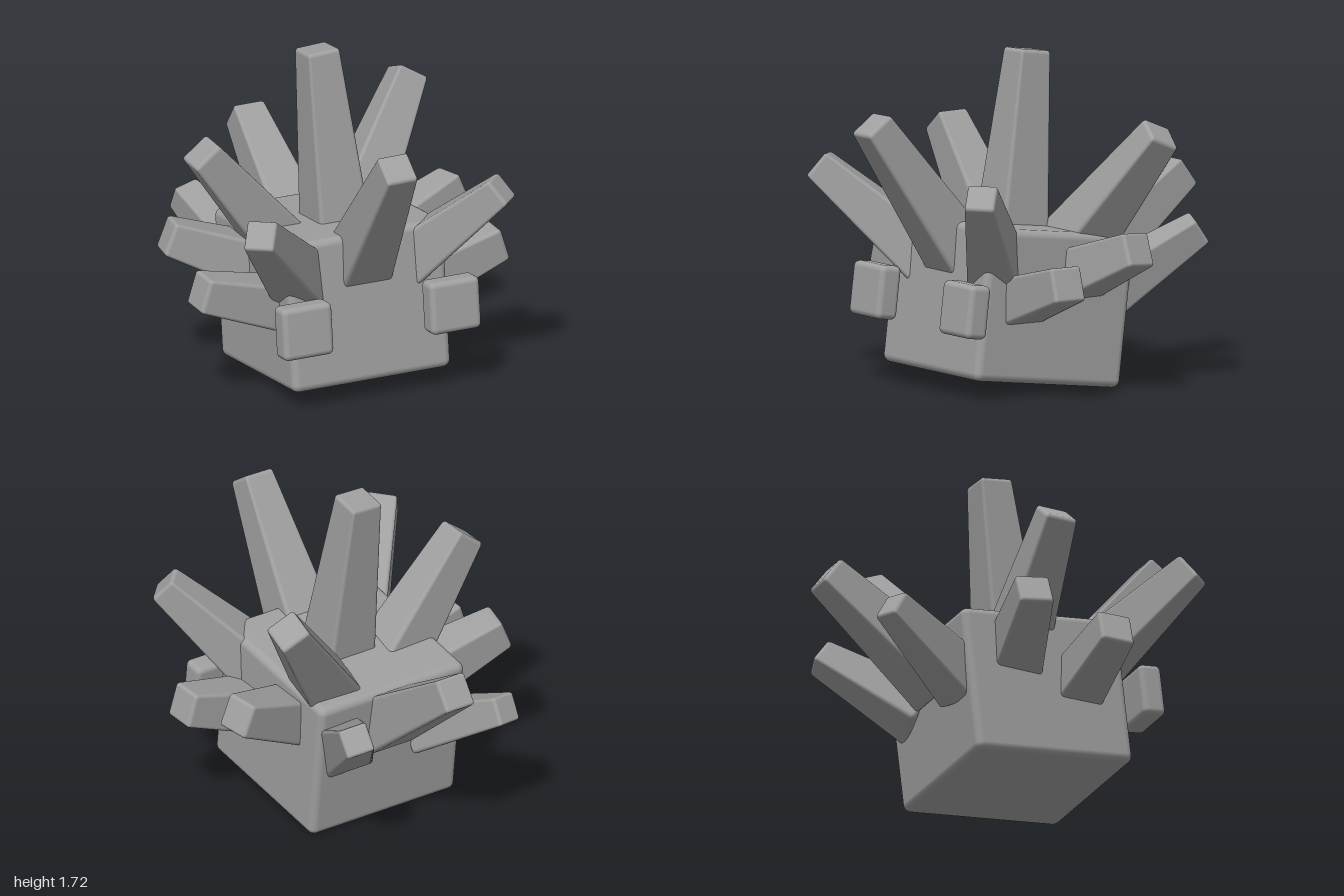
import * as THREE from 'three';
import { RoundedBoxGeometry } from 'three/addons/geometries/RoundedBoxGeometry.js';

const TILT = -0.12; // the whole body leans back slightly

export function createModel() {
  const group = new THREE.Group();
  const grey = new THREE.MeshStandardMaterial({ color: 0xa0a0a0 });
  grey.name = 'grey';

  function block(name, size, pos, radius) {
    const mesh = new THREE.Mesh(new RoundedBoxGeometry(...size, 3, radius), grey);
    mesh.name = name;
    mesh.position.set(...pos);
    mesh.rotation.x = TILT;
    group.add(mesh);
  }

  // Tapered square spike from base to tip; edge sets the roll of its cross-section
  function spike(name, base, tip, baseW, tipW, edge) {
    const a = new THREE.Vector3(...base), b = new THREE.Vector3(...tip);
    const dir = b.clone().sub(a), reach = dir.length();
    dir.normalize();
    const sunk = 0.1, length = reach + sunk; // root buried in the body
    const geo = new RoundedBoxGeometry(baseW, length, baseW, 3, 0.022);
    const p = geo.attributes.position;
    for (let i = 0; i < p.count; i++) {
      const t = (p.getY(i) + length / 2 - sunk) / reach;
      const s = 1 + t * (tipW / baseW - 1);
      p.setX(i, p.getX(i) * s);
      p.setZ(i, p.getZ(i) * s);
    }
    const x = new THREE.Vector3(...edge);
    x.addScaledVector(dir, -x.dot(dir)).normalize();
    const z = new THREE.Vector3().crossVectors(x, dir);
    const mesh = new THREE.Mesh(geo, grey);
    mesh.name = name;
    mesh.quaternion.setFromRotationMatrix(new THREE.Matrix4().makeBasis(x, dir, z));
    mesh.position.copy(b).addScaledVector(dir, -length / 2);
    group.add(mesh);
  }

  // Cube body
  block('body', [0.89, 0.785, 0.89], [0, 0.45, 0.11], 0.04);

  // Top spikes
  const X = [1, 0, 0], Z = [0, 0, 1];
  spike('topSpike', [0.015, 0.83, 0.1], [-0.025, 1.72, -0.02], 0.28, 0.175, X);
  spike('topLeftSpike', [0.28, 0.8, -0.16], [0.66, 1.34, -0.385], 0.27, 0.165, X);
  spike('topRightSpike', [-0.32, 0.8, 0.02], [-0.705, 1.285, 0.03], 0.26, 0.17, X);

  // Front spikes
  spike('frontSpike', [0, 0.76, 0.46], [-0.02, 1.41, 0.935], 0.27, 0.165, X);
  spike('frontLeftSpike', [0.35, 0.72, 0.43], [0.67, 1.1, 0.72], 0.25, 0.15, [1, 0, -1]);
  spike('frontRightSpike', [-0.36, 0.7, 0.44], [-0.73, 1.11, 0.79], 0.26, 0.155, [0.85, -0.1, 0.5]);

  // Side spikes, mirrored
  for (const [side, s] of [['Left', 1], ['Right', -1]]) {
    spike('sideFrontSpike' + side, [0.42 * s, 0.51, 0.3], [0.845, 0.64, 0.3].map((v, i) => i ? v : v * s), 0.24, 0.18, Z);
    spike('sideBackSpike' + side, [0.42 * s, 0.62, -0.06], [0.815 * s, 0.78, -0.15], 0.25, 0.175, Z);
    // Square plate floating before the front face
    block('frontPlate' + side, [0.28, 0.275, 0.125], [0.415 * s, 0.485, 0.65], 0.03);
  }

  // Back spikes
  spike('backSpike', [0, 0.6, -0.35], [0, 1.03, -0.94], 0.27, 0.17, X);
  spike('backLeftSpike', [0.28, 0.52, -0.34], [0.475, 0.805, -0.74], 0.24, 0.145, X);
  spike('backRightSpike', [-0.28, 0.48, -0.34], [-0.425, 0.72, -0.78], 0.24, 0.145, X);

  return group;
}
